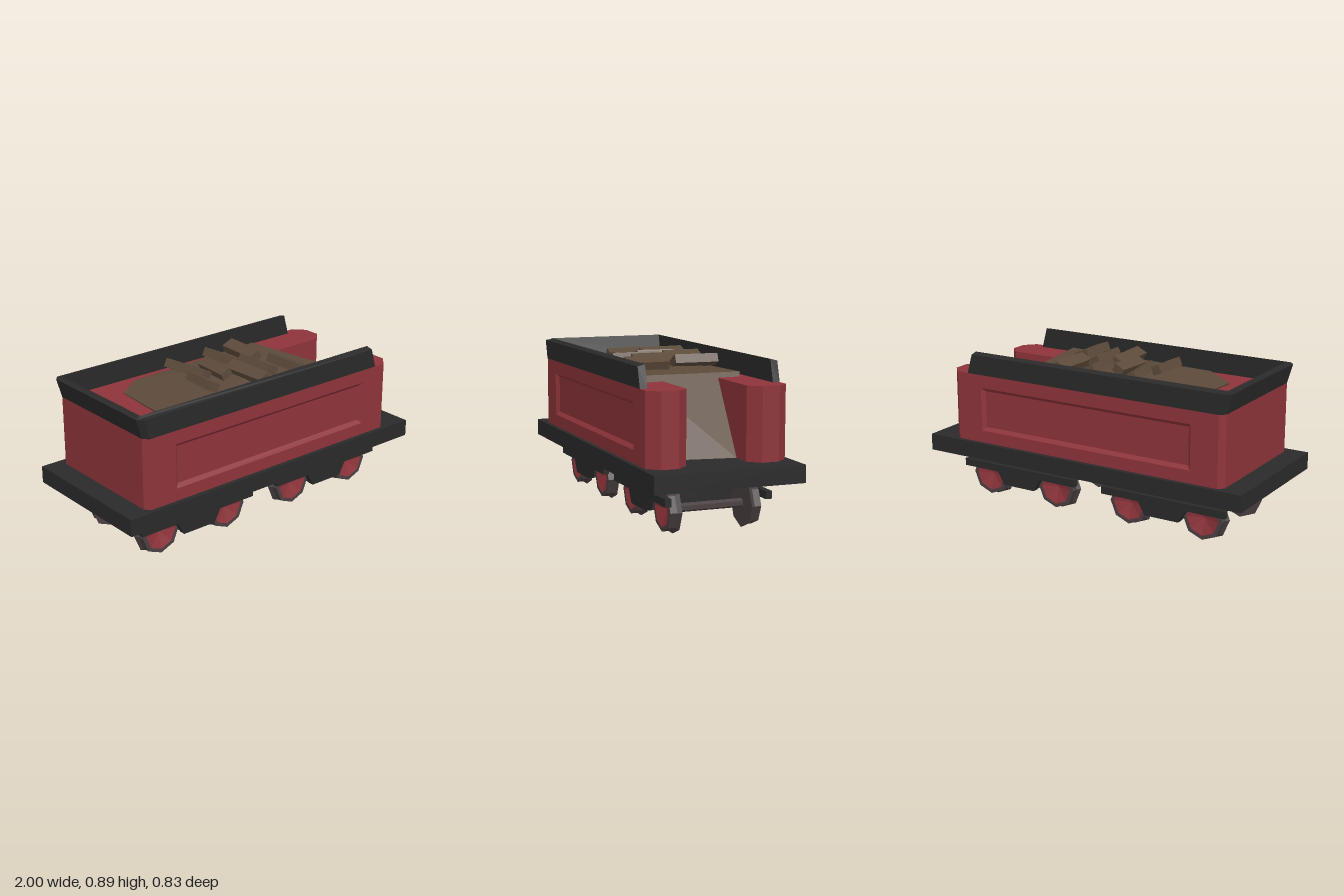
import * as THREE from 'three';
import { ConvexGeometry } from 'three/addons/geometries/ConvexGeometry.js';

const mat = (color) => new THREE.MeshStandardMaterial({ color, flatShading: true });
const RED = mat(0x8e343a), BLACK = mat(0x2a2a2a), STEEL = mat(0x4a4042), BROWN = mat(0x5c4a3a);

function add(parent, name, geometry, material, x = 0, y = 0, z = 0) {
  const mesh = new THREE.Mesh(geometry, material);
  mesh.name = name;
  mesh.position.set(x, y, z);
  parent.add(mesh);
  return mesh;
}

const box = (w, h, d) => new THREE.BoxGeometry(w, h, d);

// Extrudes a plan outline upwards; half lists [x, z] for z > 0, mirrored to close the loop
function extrudePlan(half, y0, height) {
  const all = [...half, ...half.slice().reverse().map(([x, z]) => [x, -z])];
  const shape = new THREE.Shape(all.map(([x, z]) => new THREE.Vector2(x, -z)));
  const g = new THREE.ExtrudeGeometry(shape, { depth: height, bevelEnabled: false });
  return g.rotateX(-Math.PI / 2).translate(0, y0, 0);
}

// Side wall with a sunken, sloped-edge panel, made from nested rectangles
function sidePanelGeometry() {
  const rings = [
    [-0.85, 0.81, 0.375, 0.77, 0.37],
    [-0.85, 0.81, 0.375, 0.77, 0.39],
    [-0.69, 0.65, 0.445, 0.695, 0.39],
    [-0.67, 0.63, 0.465, 0.675, 0.371],
  ].map(([x0, x1, y0, y1, z]) => [[x0, y0, z], [x1, y0, z], [x1, y1, z], [x0, y1, z]]);
  const pos = [];
  const quad = (a, b, c, d) => pos.push(...a, ...b, ...c, ...a, ...c, ...d);
  for (let r = 0; r < rings.length - 1; r++) {
    for (let j = 0; j < 4; j++) {
      const k = (j + 1) % 4;
      quad(rings[r][j], rings[r][k], rings[r + 1][k], rings[r + 1][j]);
    }
  }
  quad(...rings[rings.length - 1]);
  const g = new THREE.BufferGeometry();
  g.setAttribute('position', new THREE.Float32BufferAttribute(pos, 3));
  g.computeVertexNormals();
  return g;
}

// Rail around the top: leans backwards, outer top edge slightly lowered
function coamingGeometry() {
  const g = extrudePlan([
    [-0.88, 0.36], [-0.855, 0.39], [0.74, 0.39], [0.74, 0.35], [-0.845, 0.35],
  ], 0.77, 0.12);
  const p = g.attributes.position;
  for (let i = 0; i < p.count; i++) {
    if (p.getY(i) < 0.8) continue;
    const outer = Math.abs(p.getZ(i)) > 0.38 || p.getX(i) < -0.87;
    if (outer) p.setY(i, 0.88);
    p.setX(i, p.getX(i) - 0.032);
  }
  g.computeVertexNormals();
  return g;
}

function lathe(points) {
  const g = new THREE.LatheGeometry(points.map(([r, z]) => new THREE.Vector2(r, z)), 8);
  return g.rotateX(Math.PI / 2);
}

// Two flanged wheels with dished red centres, joined by an axle
function wheelset() {
  const set = new THREE.Group();
  set.name = 'wheelset';
  const tyre = lathe([[0, -0.03], [0.133, -0.03], [0.118, -0.008], [0.118, 0.03], [0.096, 0.03]]);
  const dish = lathe([[0.096, 0.03], [0, 0.002]]);
  for (const s of [1, -1]) {
    const wheel = new THREE.Group();
    wheel.name = 'wheel';
    add(wheel, 'tyre', tyre, STEEL);
    add(wheel, 'wheelCentre', dish, RED);
    wheel.position.z = s * 0.225;
    if (s < 0) wheel.rotation.y = Math.PI;
    set.add(wheel);
  }
  add(set, 'axle', new THREE.CylinderGeometry(0.024, 0.024, 0.4, 6).rotateX(Math.PI / 2), STEEL);
  return set;
}

// Four-wheel truck: side frames, bolster and two wheelsets
function truck() {
  const group = new THREE.Group();
  group.name = 'truck';
  const half = [[0.38, 0.22], [0.38, 0.178], [0.145, 0.178], [0.105, 0.105]];
  const outline = [...half, ...half.slice().reverse().map(([x, y]) => [-x, y])];
  const shape = new THREE.Shape(outline.map(([x, y]) => new THREE.Vector2(x, y)));
  const frame = new THREE.ExtrudeGeometry(shape, { depth: 0.035, bevelEnabled: false });
  add(group, 'sideFrame', frame, BLACK, 0, 0, 0.263);
  add(group, 'sideFrame', frame, BLACK, 0, 0, -0.298);
  add(group, 'bolster', box(0.2, 0.114, 0.54), BLACK, 0, 0.162, 0);
  for (const x of [-0.228, 0.228]) {
    const set = wheelset();
    set.position.set(x, 0.136, 0);
    group.add(set);
  }
  return group;
}

export function createModel() {
  const model = new THREE.Group();
  model.name = 'tenderWagon';

  add(model, 'deck', box(2, 0.095, 0.83), BLACK, 0, 0.3275, 0);

  // U-shaped body, open at the +x end, with chamfered arm ends
  add(model, 'body', extrudePlan([
    [-0.88, 0.36], [-0.85, 0.39], [-0.85, 0.37], [0.81, 0.37], [0.81, 0.39],
    [0.87, 0.325], [0.87, 0.23], [0.81, 0.167], [0.35, 0.167],
  ], 0.375, 0.395), RED);
  const panel = sidePanelGeometry();
  for (const s of [1, -1]) add(model, 'sidePanel', panel, RED).scale.z = s;
  add(model, 'coaming', coamingGeometry(), BLACK);

  // Coal bed: gently sloped top, steep face down to the deck between the arms
  const bed = [
    [-0.6, 0.775, -0.19], [-0.46, 0.785, -0.28], [0.42, 0.795, -0.31],
    [0.49, 0.805, 0.31], [-0.44, 0.79, 0.3], [-0.63, 0.78, 0.16],
    [0.0, 0.815, -0.1], [0.0, 0.815, 0.12],
    [-0.5, 0.5, -0.16], [-0.5, 0.5, 0.16], [0.3, 0.376, -0.165], [0.3, 0.376, 0.165],
    [0.695, 0.376, -0.166], [0.645, 0.376, 0.166],
  ].map((p) => new THREE.Vector3(...p));
  add(model, 'coalBed', new ConvexGeometry(bed), BROWN);

  // Loose lumps: x, z, width, length, turn, roll
  const lumps = [
    [-0.22, -0.11, 0.07, 0.28, 0.17, -0.5], [-0.1, -0.02, 0.065, 0.22, -0.06, 0.5],
    [-0.275, 0.09, 0.055, 0.22, -0.04, -0.4], [0.04, -0.13, 0.09, 0.22, 0.05, -0.45],
    [0.0, 0.14, 0.07, 0.28, 0.05, 0.5], [0.125, 0.08, 0.075, 0.24, 0.04, -0.5],
    [0.195, -0.14, 0.075, 0.25, -0.04, 0.4], [0.26, 0.17, 0.08, 0.24, 0.02, -0.35],
  ];
  for (const [x, z, w, l, turn, roll] of lumps) {
    add(model, 'coalLump', box(w, 0.05, l), BROWN, x, 0.842, z).rotation.set(0, turn, roll, 'YXZ');
  }

  for (const x of [-0.47, 0.47]) {
    const t = truck();
    t.position.x = x;
    model.add(t);
  }
  return model;
}
